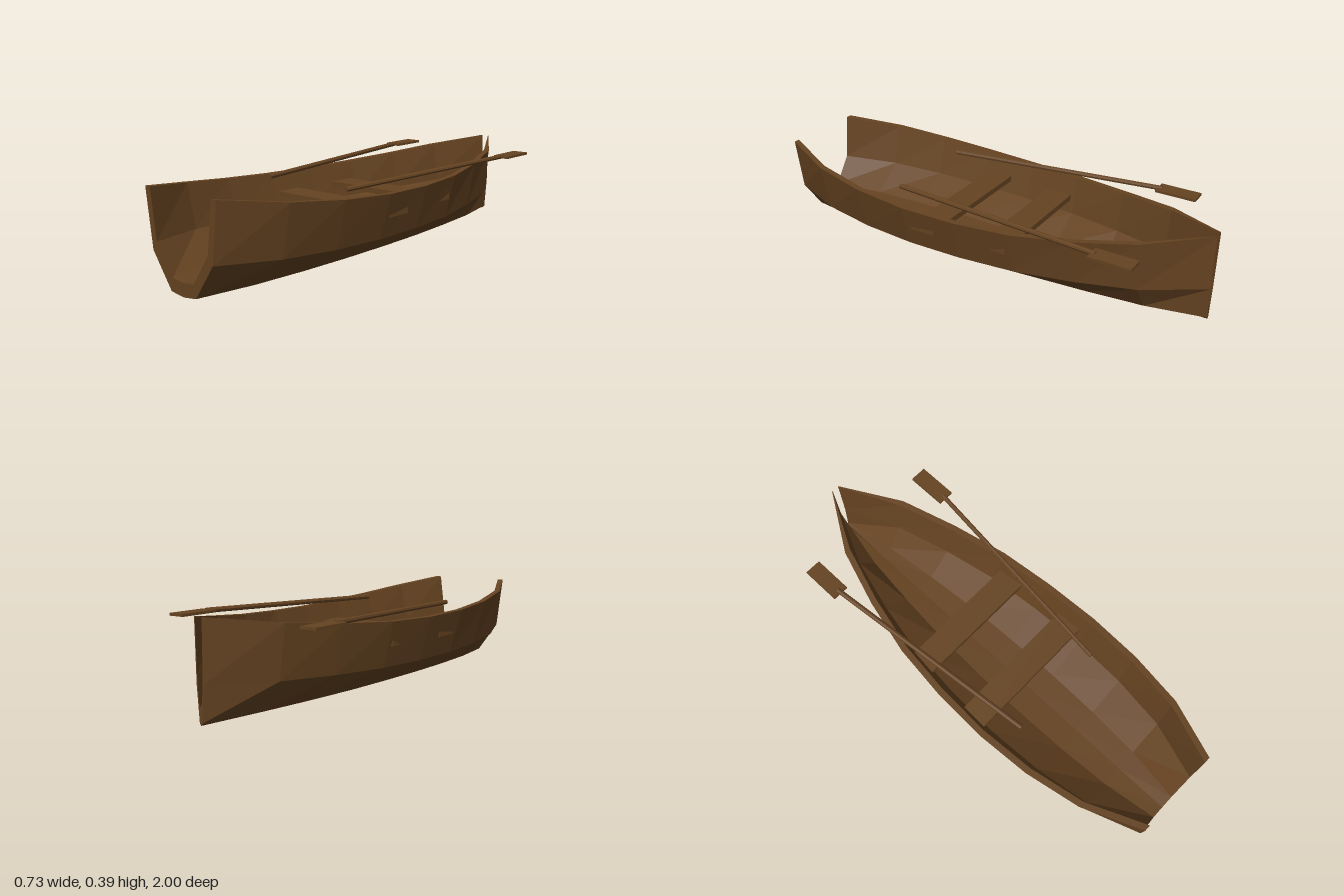
import * as THREE from 'three';

const wood = new THREE.MeshStandardMaterial({ color: 0x654321, flatShading: true });
wood.name = 'dark brown wood';

// Half-width of the gunwale at evenly spaced stations, bow (-z) to stern (+z)
const halfWidths = [0.02, 0.18, 0.262, 0.322, 0.35, 0.36, 0.346, 0.303, 0.2];

// Closed ring of one station: outer skin from left to right, inner skin back again
function hullRing(w, z) {
  const sheer = 0.31 + 0.08 * z * z;
  const chine = 0.385 * sheer;
  const wi = Math.max(0.82 * w, w - 0.028);
  const skin = (h, ys) => [1, 0.85, 0.35, 0, -0.35, -0.85, -1].map(
    (f, i) => [f * h, ys[Math.min(i, 6 - i)], z]);
  const outer = skin(w, [sheer, chine, 0.01, 0.001]);
  const inner = skin(wi, [sheer, chine + 0.035, 0.063, 0.057]);
  return [...outer, ...inner.reverse()];
}

function hullGeometry() {
  const rings = halfWidths.map((w, i) => hullRing(w, -1 + i * 0.25));
  const n = rings[0].length;
  const pos = [];
  const quad = (a, b, c, d) => pos.push(...a, ...b, ...c, ...a, ...c, ...d);
  // Skins and gunwales
  for (let k = 0; k < rings.length - 1; k++) {
    for (let i = 0; i < n; i++) {
      const j = (i + 1) % n;
      quad(rings[k][i], rings[k + 1][i], rings[k + 1][j], rings[k][j]);
    }
  }
  // Wall thickness at the two open ends
  const stern = rings[rings.length - 1], bow = rings[0];
  for (let i = 0; i < 6; i++) {
    const p = n - 1 - i;
    quad(stern[i], stern[p], stern[p - 1], stern[i + 1]);
    quad(bow[i], bow[i + 1], bow[p - 1], bow[p]);
  }
  const geo = new THREE.BufferGeometry();
  geo.setAttribute('position', new THREE.Float32BufferAttribute(pos, 3));
  geo.computeVertexNormals();
  return geo;
}

function addMesh(parent, name, geo, x = 0, y = 0, z = 0) {
  const mesh = new THREE.Mesh(geo, wood);
  mesh.name = name;
  mesh.position.set(x, y, z);
  parent.add(mesh);
  return mesh;
}

function makeOar(side, name) {
  const oar = new THREE.Group();
  oar.name = name;
  // Shaft leaning outwards towards the bow
  const grip = new THREE.Vector3(side * 0.218, 0.331, 0.358);
  const neck = new THREE.Vector3(side * 0.325, 0.354, -0.64);
  const dir = neck.clone().sub(grip);
  const shaft = addMesh(oar, 'oarShaft', new THREE.CylinderGeometry(0.011, 0.011, dir.length(), 8));
  shaft.position.copy(grip).lerp(neck, 0.5);
  shaft.quaternion.setFromUnitVectors(new THREE.Vector3(0, 1, 0), dir.normalize());
  // Flat blade
  addMesh(oar, 'oarBlade', new THREE.BoxGeometry(0.074, 0.011, 0.18), side * 0.326, 0.352, -0.712);
  return oar;
}

export function createModel() {
  const boat = new THREE.Group();
  boat.name = 'rowingBoat';
  addMesh(boat, 'hull', hullGeometry());

  // Bench seats
  addMesh(boat, 'bowSeat', new THREE.BoxGeometry(0.61, 0.025, 0.12), 0, 0.222, -0.17);
  addMesh(boat, 'sternSeat', new THREE.BoxGeometry(0.665, 0.025, 0.12), 0, 0.222, 0.163);

  boat.add(makeOar(1, 'leftOar'), makeOar(-1, 'rightOar'));
  return boat;
}
